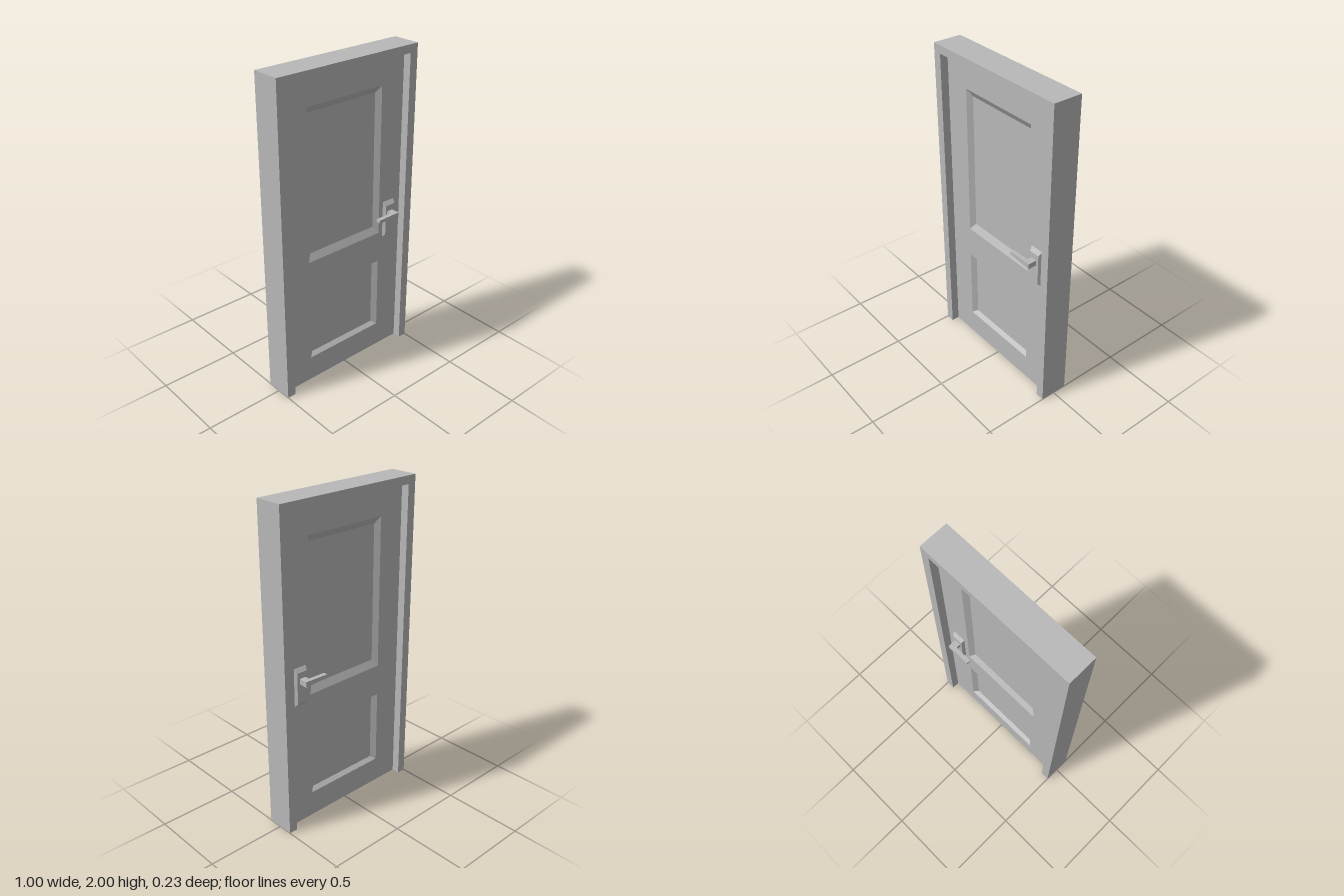
import * as THREE from 'three';
import { ConvexGeometry } from 'three/addons/geometries/ConvexGeometry.js';

const FRAME_Z = 0.09, DOOR_Z = 0.04, PANEL_Z = 0.015;

// Polygon or hole outline from a flat list of corner pairs
const corners = (list) => list.map(([x, y]) => new THREE.Vector2(x, y));
const rect = (x0, x1, y0, y1) => [[x0, y0], [x1, y0], [x1, y1], [x0, y1]];

function slab(outline, holes, halfDepth) {
  const shape = new THREE.Shape(corners(outline));
  for (const h of holes) shape.holes.push(new THREE.Path(corners(h)));
  const g = new THREE.ExtrudeGeometry(shape, { depth: halfDepth * 2, bevelEnabled: false });
  return g.translate(0, 0, -halfDepth);
}

// Solid spanning two four-cornered sections, each placed by its own depth
function block(a, za, b, zb) {
  return new ConvexGeometry([
    ...a.map(([x, y]) => new THREE.Vector3(x, y, za)),
    ...b.map(([x, y]) => new THREE.Vector3(x, y, zb)),
  ]);
}

// Sunken panel: four sloped sides and a flat floor, facing along side * z
function sunkenPanel(outer, inner, side) {
  const o = outer.map(([x, y]) => [x, y, side * DOOR_Z]);
  const n = inner.map(([x, y]) => [x, y, side * PANEL_Z]);
  const pos = [];
  const quad = (a, b, c, d) => {
    const tris = side > 0 ? [a, b, c, a, c, d] : [a, c, b, a, d, c];
    for (const p of tris) pos.push(...p);
  };
  for (let i = 0; i < 4; i++) {
    const j = (i + 1) % 4;
    quad(o[i], o[j], n[j], n[i]);
  }
  quad(...n);
  const g = new THREE.BufferGeometry();
  g.setAttribute('position', new THREE.Float32BufferAttribute(pos, 3));
  g.computeVertexNormals();
  return g;
}

export function createModel() {
  const grey = new THREE.MeshStandardMaterial({ color: 0xb8b8b8 });
  grey.name = 'grey';

  const model = new THREE.Group();
  model.name = 'door';
  const add = (parent, name, geometry) => {
    const mesh = new THREE.Mesh(geometry, grey);
    mesh.name = name;
    parent.add(mesh);
  };

  // Frame: two jambs and a head, open at the floor
  add(model, 'frame', slab([
    [-0.5, 0], [-0.445, 0], [-0.445, 1.95], [0.445, 1.95],
    [0.445, 0], [0.5, 0], [0.5, 2], [-0.5, 2],
  ], [], FRAME_Z));

  // Door leaf with two openings for the panels
  const panels = [
    { name: 'upperPanel', outer: rect(-0.277, 0.277, 0.84, 1.785), inner: rect(-0.247, 0.247, 0.883, 1.743) },
    { name: 'lowerPanel', outer: rect(-0.277, 0.277, 0.162, 0.64), inner: rect(-0.247, 0.247, 0.183, 0.62) },
  ];
  add(model, 'doorLeaf', slab(rect(-0.445, 0.445, 0, 1.95), panels.map((p) => p.outer), DOOR_Z));

  // Panels and handle on both faces
  for (const side of [1, -1]) {
    const face = side > 0 ? 'front' : 'back';
    for (const p of panels) add(model, `${face} ${p.name}`, sunkenPanel(p.outer, p.inner, side));

    const handle = new THREE.Group();
    handle.name = `${face} handle`;
    model.add(handle);

    // Chamfered back plate
    add(handle, 'handlePlate', block(
      rect(0.308, 0.395, 0.802, 1.042), side * DOOR_Z,
      rect(0.316, 0.387, 0.822, 1.018), side * 0.06));

    // Spindle and tapered lever
    const spindle = rect(0.328, 0.37, 0.946, 0.98);
    add(handle, 'handleSpindle', block(spindle, side * 0.055, spindle, side * 0.09));
    const lever = [[0.212, 0.958], [0.37, 0.946], [0.37, 0.98], [0.212, 0.976]];
    add(handle, 'handleLever', block(lever, side * 0.088, lever, side * 0.115));
  }
  return model;
}
